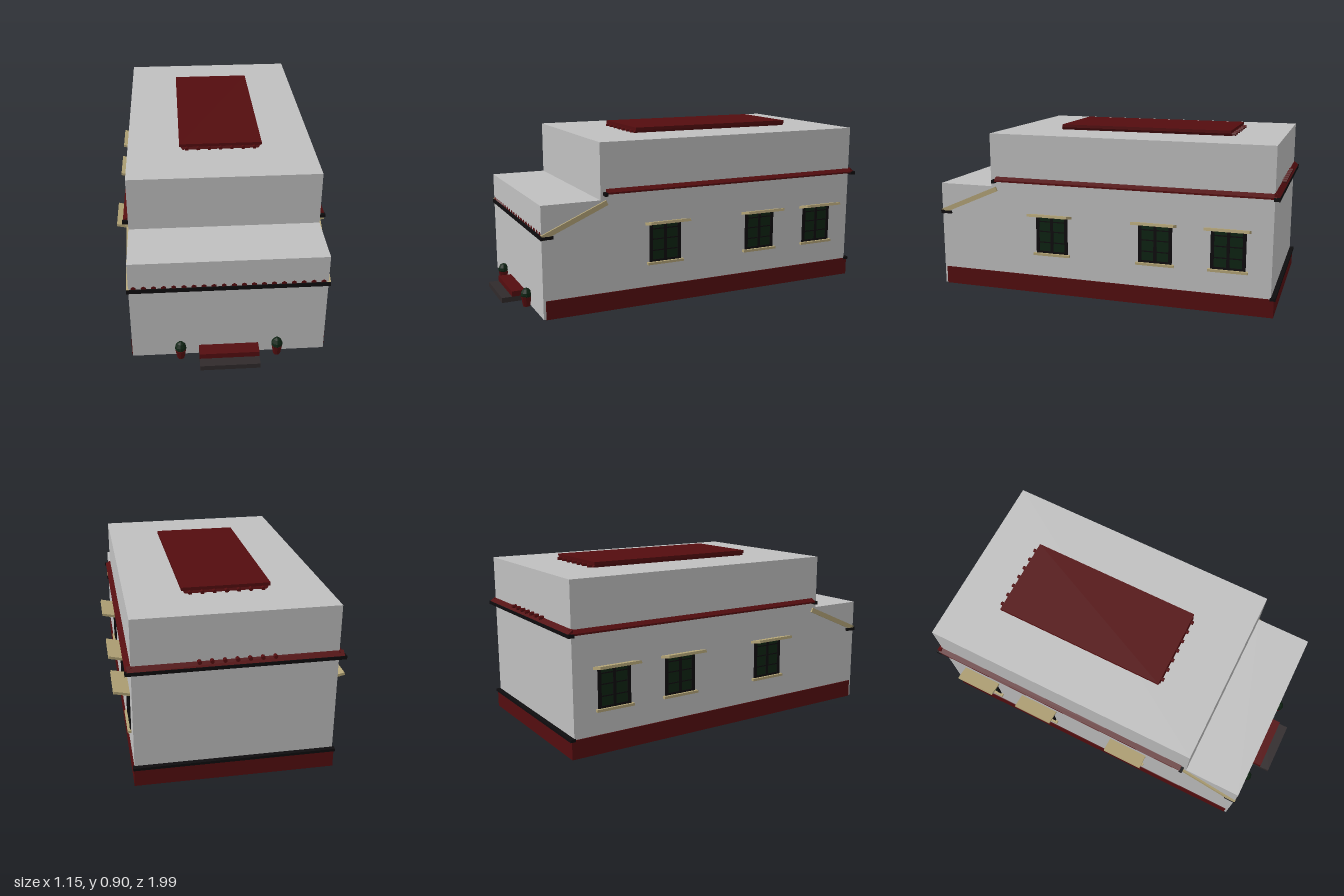
import * as THREE from 'three';

const mat = (name, color) => {
  const m = new THREE.MeshStandardMaterial({ color });
  m.name = name;
  return m;
};

export function createModel() {
  const wall = mat('wallGrey', 0xc0c0c0);
  const red = mat('darkRed', 0x540d0f);
  const black = mat('nearBlack', 0x0e0c0e);
  const beige = mat('beige', 0xb3a477);
  const glass = mat('greenGlass', 0x0d2412);
  const leaf = mat('leafGreen', 0x0f2414);
  const stone = mat('darkStone', 0x302a2b);
  const root = new THREE.Group();
  root.name = 'house';

  const add = (parent, name, geo, material, x = 0, y = 0, z = 0) => {
    const m = new THREE.Mesh(geo, material);
    m.name = name;
    m.position.set(x, y, z);
    parent.add(m);
    return m;
  };
  // box given by its lower and upper limits on each axis
  const box = (parent, name, material, x0, x1, y0, y1, z0, z1) =>
    add(parent, name, new THREE.BoxGeometry(x1 - x0, y1 - y0, z1 - z0), material,
      (x0 + x1) / 2, (y0 + y1) / 2, (z0 + z1) / 2);
  // profile in x/y, extruded along z
  const prism = (points, depth) => new THREE.ExtrudeGeometry(
    new THREE.Shape(points.map(([x, y]) => new THREE.Vector2(x, y))),
    { depth, bevelEnabled: false });

  // walls: tall hall and lower porch block
  box(root, 'hall', wall, -0.495, 0.495, 0.002, 0.87, -0.965, 0.565);
  box(root, 'porch', wall, -0.495, 0.495, 0.002, 0.58, 0.565, 0.873);

  // plinth with a dark ledge at the back
  box(root, 'plinth', red, -0.499, 0.499, 0, 0.097, -0.98, 0.86);
  box(root, 'plinthLedge', black, -0.503, 0.503, 0.09, 0.104, -0.988, -0.96);

  // raised roof panel on a flared curb, with round tile ends
  const curb = new THREE.BoxGeometry(0.43, 0.017, 0.94);
  const cp = curb.attributes.position;
  for (let i = 0; i < cp.count; i++) {
    if (cp.getY(i) < 0) cp.setXYZ(i, cp.getX(i) * 0.94, cp.getY(i), cp.getZ(i) * 1.015);
  }
  curb.computeVertexNormals();
  add(root, 'roofCurb', curb, red, 0, 0.8775, -0.22);
  box(root, 'roofPanel', red, -0.22, 0.22, 0.884, 0.9, -0.695, 0.252);
  const tile = new THREE.CylinderGeometry(0.01, 0.01, 0.03, 6).rotateX(Math.PI / 2);
  for (let i = 0; i < 7; i++) {
    const x = -0.18 + i * 0.06;
    add(root, 'roofTileEnd', tile, red, x, 0.877, 0.252);
    add(root, 'roofTileEnd', tile, red, x, 0.877, -0.70);
    add(root, 'backTile', tile, red, x, 0.641, -0.973);
  }

  // back eave: gutter and sloping red cover
  box(root, 'backGutter', black, -0.525, 0.525, 0.602, 0.62, -0.992, -0.962);
  const cover = prism([[0, 0], [0.028, 0], [0, 0.022]], 1.03);
  const backCover = add(root, 'backEave', cover, red, -0.515, 0.619, -0.963);
  backCover.rotation.y = Math.PI / 2;

  // front eave with a row of tile ends
  box(root, 'frontGutter', black, -0.505, 0.505, 0.408, 0.43, 0.86, 0.879);
  for (let i = 0; i < 20; i++) {
    const x = -0.47 + i * 0.0495;
    add(root, 'frontTileEnd', new THREE.CylinderGeometry(0.014, 0.014, 0.012, 6)
      .rotateX(Math.PI / 2), i % 1 ? black : red, x, 0.432, 0.869);
  }

  // one side: cornice, porch gable board and windows
  const makeSide = (s) => {
    const side = new THREE.Group();
    side.name = s > 0 ? 'leftSide' : 'rightSide';
    const sx = (a, b) => (s > 0 ? [a, b] : [-b, -a]);
    const sbox = (parent, name, m, x0, x1, ...rest) => box(parent, name, m, ...sx(x0, x1), ...rest);

    const profile = [[0.49, 0.611], [0.522, 0.611], [0.522, 0.62], [0.49, 0.638]];
    const pts = s > 0 ? profile : profile.map(([x, y]) => [-x, y]).reverse();
    add(side, 'cornice', prism(pts, 1.51), red, 0, 0, -0.975);
    sbox(side, 'corniceEnd', black, 0.49, 0.526, 0.602, 0.62, 0.533, 0.55);

    const board = add(side, 'gableBoard', new THREE.BoxGeometry(0.016, 0.026, 0.37), beige,
      s * 0.497, 0.494, 0.702);
    board.rotation.x = Math.atan2(0.145, 0.335);
    sbox(side, 'boardFoot', black, 0.49, 0.506, 0.41, 0.426, 0.815, 0.875);

    for (const z of [0.21, -0.365, -0.745]) {
      const win = new THREE.Group();
      win.name = 'window';
      // pane, then frame and glazing bars
      sbox(win, 'pane', glass, 0.492, 0.4975, 0.23, 0.43, z - 0.085, z + 0.085);
      for (const dz of [-0.081, 0, 0.081]) {
        const h = dz ? 0.009 : 0.008;
        sbox(win, 'frameBar', black, 0.492, 0.501, 0.23, 0.43, z + dz - h, z + dz + h);
      }
      for (const y of [0.235, 0.290, 0.350, 0.405]) {
        const h = y < 0.24 ? 0.006 : 0.003;
        sbox(win, 'glazingBar', black, 0.492, 0.5, y - h, y + h, z - 0.085, z + 0.085);
      }
      sbox(win, 'sill', beige, 0.49, 0.513, 0.217, 0.23, z - 0.103, z + 0.103);
      const awning = add(win, 'awning', new THREE.BoxGeometry(0.085, 0.014, 0.225), beige,
        s * 0.532, 0.443, z);
      awning.rotation.z = s * 0.22;
      side.add(win);
    }
    root.add(side);
  };
  makeSide(1);
  makeSide(-1);

  // front steps
  box(root, 'lowerStep', stone, -0.153, 0.153, 0, 0.027, 0.86, 1.0);
  box(root, 'upperStep', red, -0.153, 0.153, 0.027, 0.056, 0.86, 0.945);

  // potted bushes
  const potGeo = new THREE.CylinderGeometry(0.028, 0.019, 0.052, 10).toNonIndexed();
  potGeo.computeVertexNormals();
  const bushGeo = new THREE.LatheGeometry(
    [[0, 0], [0.024, 0], [0.03, 0.009], [0.028, 0.024], [0.017, 0.041], [0, 0.05]]
      .map(([x, y]) => new THREE.Vector2(x, y)), 9).toNonIndexed();
  bushGeo.computeVertexNormals();
  for (const x of [-0.248, 0.248]) {
    const plant = new THREE.Group();
    plant.name = 'pottedBush';
    add(plant, 'pot', potGeo, red, 0, 0.026, 0);
    add(plant, 'bush', bushGeo, leaf, 0, 0.05, 0);
    plant.position.set(x, 0, 0.893);
    root.add(plant);
  }
  return root;
}
